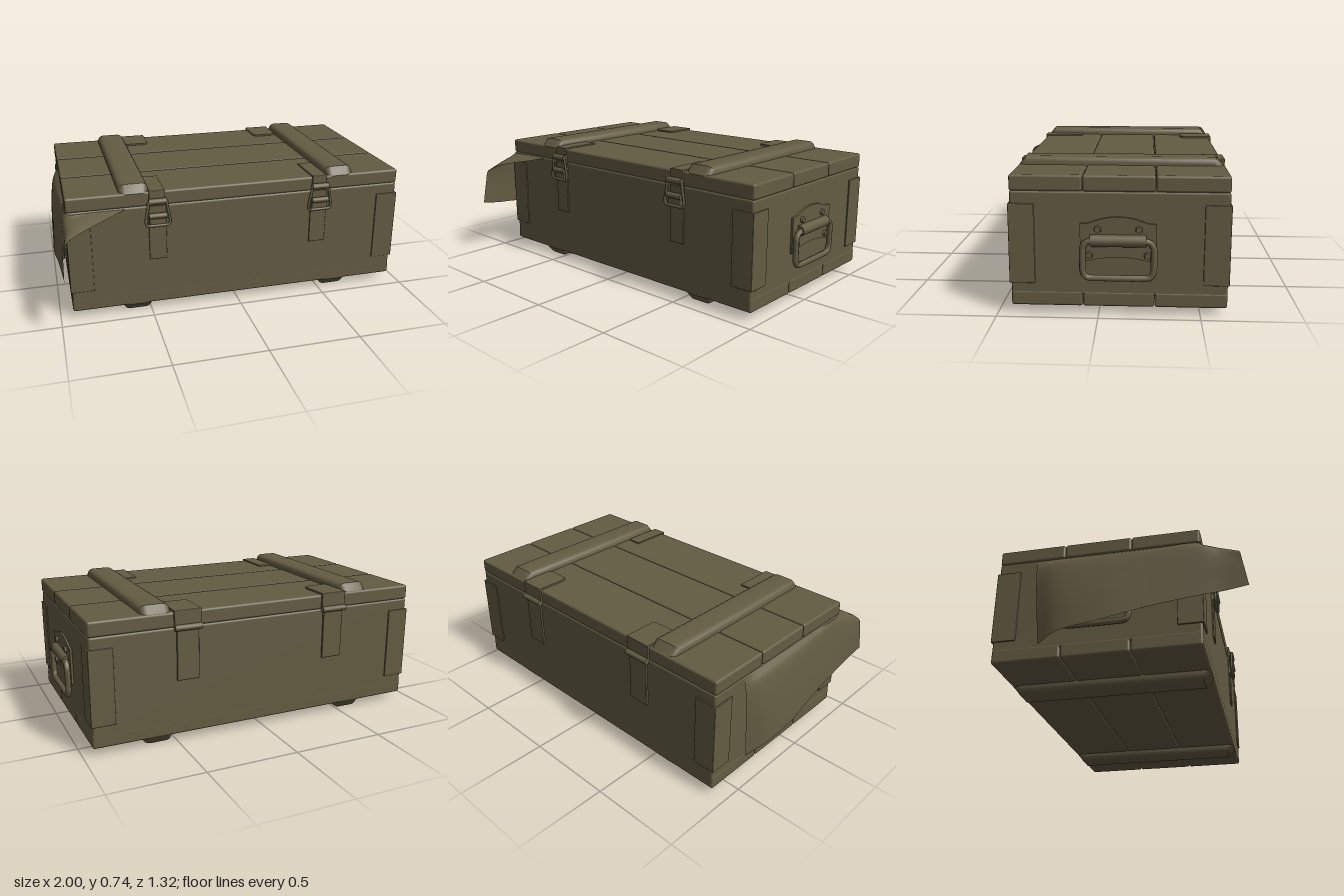
import * as THREE from 'three';
import { RoundedBoxGeometry } from 'three/addons/geometries/RoundedBoxGeometry.js';
import { toCreasedNormals } from 'three/addons/utils/BufferGeometryUtils.js';

const olive = new THREE.MeshStandardMaterial({ color: 0x645c43 });
const cloth = new THREE.MeshStandardMaterial({ color: 0x645c43, side: THREE.DoubleSide });
olive.name = 'olive paint';
cloth.name = 'olive canvas';

const V = (x, y, z) => new THREE.Vector3(x, y, z);

function add(parent, name, geometry, x = 0, y = 0, z = 0, material = olive) {
  const mesh = new THREE.Mesh(geometry, material);
  mesh.name = name;
  mesh.position.set(x, y, z);
  parent.add(mesh);
  return mesh;
}

// Box given by its limits, with rounded edges of radius r
function block(parent, name, [x0, x1], [y0, y1], [z0, z1], r = 0.003) {
  const geometry = new RoundedBoxGeometry(x1 - x0, y1 - y0, z1 - z0, 2, r);
  return add(parent, name, geometry, (x0 + x1) / 2, (y0 + y1) / 2, (z0 + z1) / 2);
}

function rod(points, radius, closed = false) {
  const path = new THREE.CatmullRomCurve3(points, closed, 'catmullrom', 0.2);
  return new THREE.TubeGeometry(path, 48, radius, 8, closed);
}

// Cross batten: long chamfered profile with rounded long edges
function battenGeometry(width) {
  const pts = [[-0.43, 0], [-0.43, 0.055], [-0.395, 0.1], [0.585, 0.1], [0.625, 0.055], [0.625, 0]];
  const shape = new THREE.Shape(pts.map(([x, y]) => new THREE.Vector2(x, y)));
  const geometry = new THREE.ExtrudeGeometry(shape, {
    depth: width - 0.07, bevelThickness: 0.035, bevelSize: 0.03, bevelOffset: -0.03, bevelSegments: 4,
  });
  geometry.translate(0, 0, -(width - 0.07) / 2);
  geometry.rotateY(Math.PI / 2);
  return toCreasedNormals(geometry, 0.6);
}

// Carry handle, facing local +z
function makeHandle() {
  const g = new THREE.Group();
  g.name = 'carryHandle';
  const s = new THREE.Shape();
  s.moveTo(-0.185, 0.27);
  s.quadraticCurveTo(0, 0.33, 0.185, 0.27);
  s.lineTo(0.185, 0.465);
  s.lineTo(0.14, 0.47);
  s.quadraticCurveTo(0, 0.53, -0.14, 0.47);
  s.lineTo(-0.185, 0.465);
  add(g, 'handlePlate', new THREE.ExtrudeGeometry(s, { depth: 0.012, bevelEnabled: false }));
  const grip = add(g, 'handleSleeve', new THREE.CylinderGeometry(0.03, 0.03, 0.27, 16), 0, 0.385, 0.018);
  grip.rotation.z = Math.PI / 2;
  const half = [[0.13, 0.385], [0.155, 0.38], [0.172, 0.35], [0.172, 0.24], [0.16, 0.208], [0.13, 0.2]];
  const path = [...half.map(([x, y]) => V(-x, y, 0.028)), ...half.reverse().map(([x, y]) => V(x, y, 0.028))];
  add(g, 'handleLoop', rod(path, 0.016));
  for (const [x, y] of [[0.1, 0.44], [0.142, 0.31]]) {
    for (const side of [-1, 1]) {
      const bolt = add(g, 'bolt', new THREE.CylinderGeometry(0.016, 0.02, 0.014, 6), side * x, y, 0.017);
      bolt.rotation.x = Math.PI / 2;
    }
  }
  return g;
}

// Front latch centred on local x = 0
function makeLatch() {
  const g = new THREE.Group();
  g.name = 'latch';
  block(g, 'latchStrap', [-0.048, 0.048], [0.31, 0.62], [0.425, 0.438]);
  block(g, 'latchLever', [-0.045, 0.045], [0.51, 0.575], [0.43, 0.455], 0.008);
  block(g, 'lidTab', [-0.042, 0.042], [0.695, 0.708], [0.2, 0.438]);
  block(g, 'lidTabFront', [-0.042, 0.042], [0.62, 0.708], [0.425, 0.44]);
  const loop = [[-0.045, 0.655], [0.045, 0.655], [0.052, 0.62], [0.066, 0.54], [0.055, 0.515], [-0.055, 0.515], [-0.066, 0.54], [-0.052, 0.62]];
  add(g, 'latchLoop', rod(loop.map(([x, y]) => V(x, y, 0.455)), 0.008, true));
  for (const [y, z, r] of [[0.65, 0.452, 0.017], [0.57, 0.455, 0.016]]) {
    const pin = add(g, 'latchPin', new THREE.CylinderGeometry(r, r, 0.096, 12), 0, y, z);
    pin.rotation.z = Math.PI / 2;
  }
  return g;
}

// Back hinge centred on local x = 0
function makeHinge() {
  const g = new THREE.Group();
  g.name = 'hinge';
  const s = new THREE.Shape();
  s.moveTo(-0.073, 0);
  s.lineTo(0.073, 0);
  s.lineTo(0.073, 0.16);
  s.quadraticCurveTo(0.073, 0.19, 0.043, 0.19);
  s.lineTo(-0.043, 0.19);
  s.quadraticCurveTo(-0.073, 0.19, -0.073, 0.16);
  const leaf = new THREE.ExtrudeGeometry(s, { depth: 0.012, bevelEnabled: false });
  const top = add(g, 'hingeTopLeaf', leaf, 0, 0.71, -0.635);
  top.rotation.x = Math.PI / 2;
  block(g, 'hingeLidLeaf', [-0.073, 0.073], [0.62, 0.71], [-0.641, -0.625]);
  block(g, 'hingeBodyLeaf', [-0.06, 0.06], [0.34, 0.62], [-0.641, -0.625]);
  const barrel = add(g, 'hingeBarrel', new THREE.CylinderGeometry(0.016, 0.016, 0.146, 14), 0, 0.62, -0.645);
  barrel.rotation.z = Math.PI / 2;
  return g;
}

// Canvas sheet: columns from the back edge round to the free front corner, each top to bottom
function canvasGeometry() {
  const columns = [
    [[-0.93, 0.615, -0.42], [-0.945, 0.55, -0.42], [-0.95, 0.4, -0.41], [-0.945, 0.12, -0.385]],
    [[-0.93, 0.615, -0.34], [-0.96, 0.57, -0.33], [-0.983, 0.4, -0.3], [-0.987, 0.16, -0.28]],
    [[-0.93, 0.615, -0.1], [-0.96, 0.58, -0.1], [-0.985, 0.42, -0.08], [-1.0, 0.19, -0.08]],
    [[-0.93, 0.615, 0.2], [-0.95, 0.59, 0.2], [-0.968, 0.45, 0.2], [-0.985, 0.25, 0.2]],
    [[-0.92, 0.617, 0.432], [-0.945, 0.585, 0.44], [-0.96, 0.49, 0.44], [-0.975, 0.285, 0.43]],
    [[-0.78, 0.617, 0.435], [-0.93, 0.57, 0.53], [-0.958, 0.49, 0.54], [-0.97, 0.298, 0.55]],
    [[-0.62, 0.617, 0.435], [-0.955, 0.525, 0.62], [-0.966, 0.46, 0.635], [-0.972, 0.315, 0.66]],
  ];
  const nu = 36, nv = 14, pos = [], index = [];
  const rows = [0, 1, 2, 3].map(r => new THREE.CatmullRomCurve3(columns.map(c => V(...c[r])), false, 'centripetal'));
  for (let i = 0; i <= nu; i++) {
    const down = new THREE.CatmullRomCurve3(rows.map(row => row.getPoint(i / nu)), false, 'centripetal');
    for (let j = 0; j <= nv; j++) {
      pos.push(...down.getPoint(j / nv).toArray());
      if (i < nu && j < nv) {
        const a = i * (nv + 1) + j, b = a + nv + 1;
        index.push(a, a + 1, b, b, a + 1, b + 1);
      }
    }
  }
  const geometry = new THREE.BufferGeometry();
  geometry.setAttribute('position', new THREE.Float32BufferAttribute(pos, 3));
  geometry.setIndex(index);
  geometry.computeVertexNormals();
  return geometry;
}

export function createModel() {
  const model = new THREE.Group();
  model.name = 'storageCrate';

  // Body
  block(model, 'body', [-0.93, 0.95], [0.1, 0.622], [-0.63, 0.43], 0.012);

  // Three planks each for the lid and the base
  for (const [z0, z1] of [[-0.63, -0.276], [-0.274, 0.076], [0.078, 0.43]]) {
    block(model, 'lidPlank', [-0.932, 0.952], [0.62, 0.7], [z0, z1], 0.012);
    block(model, 'basePlank', [-0.932, 0.952], [0.043, 0.12], [z0, z1], 0.012);
  }

  // Battens over the lid and under the base
  for (const x of [-0.572, 0.597]) {
    add(model, 'lidBatten', battenGeometry(0.16), x, 0.64, 0);
    const foot = add(model, 'baseBatten', battenGeometry(0.16), x, 0.1, -0.195);
    foot.rotation.x = Math.PI;
  }

  // Corner plates wrapping each vertical edge
  for (const [x, sx] of [[-0.93, -1], [0.95, 1]]) {
    for (const [z, sz] of [[-0.63, -1], [0.43, 1]]) {
      const span = (at, s, inner) => [at - s * inner, at + s * 0.007].sort((a, b) => a - b);
      block(model, 'cornerPlateSide', span(x, sx, 0.02), [0.16, 0.56], span(z, sz, 0.12));
      block(model, 'cornerPlateFace', span(x, sx, 0.12), [0.16, 0.56], span(z, sz, 0.02));
    }
    const handle = makeHandle();
    handle.position.set(x, 0, -0.097);
    handle.rotation.y = sx * Math.PI / 2;
    model.add(handle);
  }

  // Latches and hinges
  for (const x of [-0.453, 0.47]) {
    const latch = makeLatch();
    latch.position.x = x;
    model.add(latch);
  }
  for (const x of [-0.422, 0.44]) {
    const hinge = makeHinge();
    hinge.position.x = x;
    model.add(hinge);
  }

  // Canvas hanging out from under the lid
  add(model, 'canvasFlap', canvasGeometry(), 0, 0, 0, cloth);
  return model;
}
